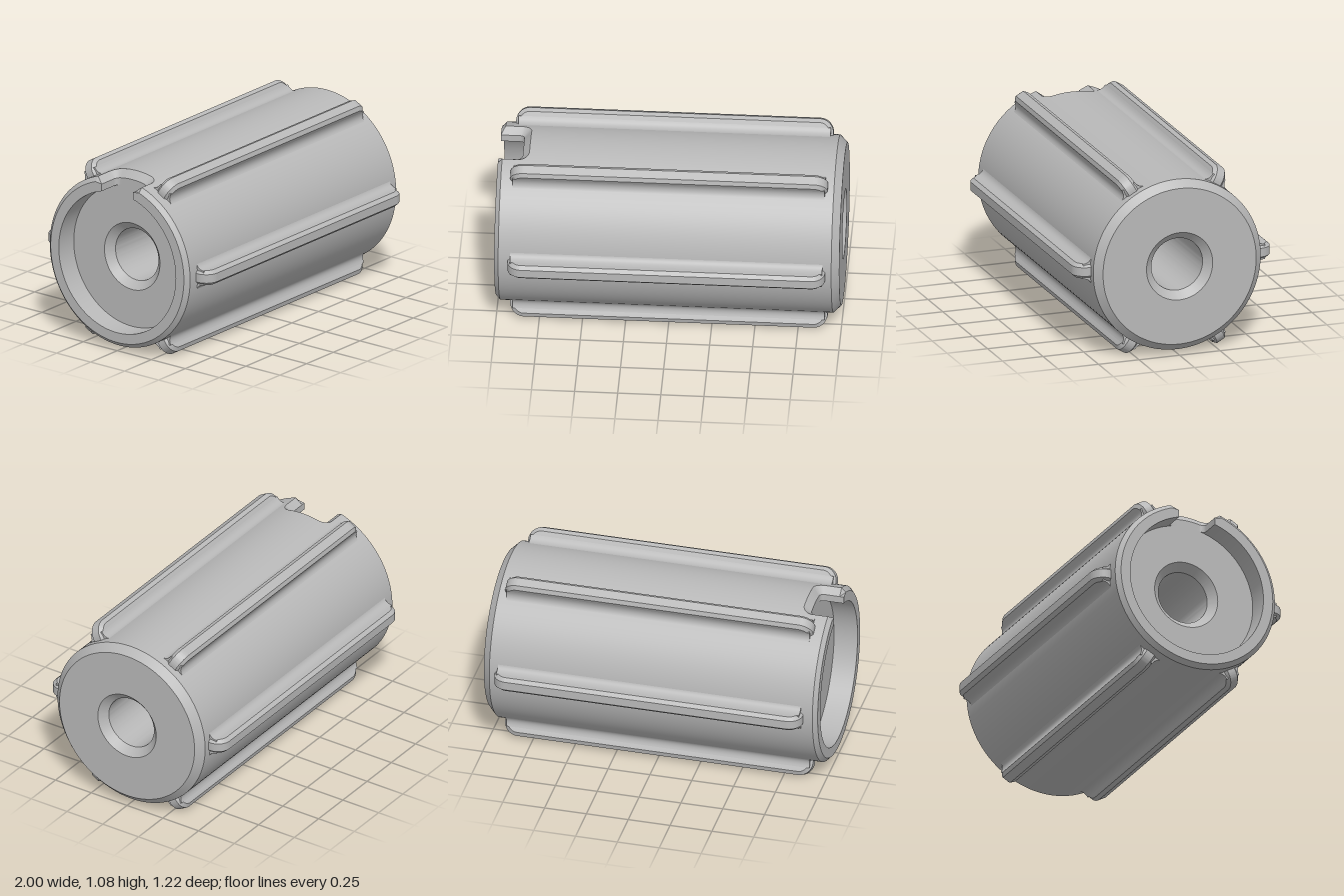
import * as THREE from 'three';
import { toCreasedNormals } from 'three/addons/utils/BufferGeometryUtils.js';

const CREASE = 0.5;

// Surface through rows of points, with sharp edges kept
function gridGeometry(rows) {
  const pos = [];
  const tri = (a, b, c) => {
    const n = b.clone().sub(a).cross(c.clone().sub(a));
    if (n.length() > 1e-8) pos.push(...a.toArray(), ...b.toArray(), ...c.toArray());
  };
  for (let i = 0; i < rows.length - 1; i++) {
    for (let j = 0; j < rows[i].length - 1; j++) {
      const a = rows[i][j], b = rows[i + 1][j], c = rows[i + 1][j + 1], d = rows[i][j + 1];
      tri(a, b, c);
      tri(a, c, d);
    }
  }
  const g = new THREE.BufferGeometry();
  g.setAttribute('position', new THREE.Float32BufferAttribute(pos, 3));
  return toCreasedNormals(g, CREASE);
}

// Rounded corner of the notch outline: list of [x, half width]
function notchCorner(xEnd, width, radius) {
  const pts = [];
  for (let i = 0; i <= 8; i++) {
    const t = (i / 8) * Math.PI / 2;
    pts.push([xEnd - radius + radius * Math.sin(t), width - radius + radius * Math.cos(t)]);
  }
  return pts;
}

export function createModel() {
  const grey = new THREE.MeshStandardMaterial({ color: 0xb8b8b8 });
  grey.name = 'grey';
  const group = new THREE.Group();
  group.name = 'ribbedSleeve';
  const add = (name, geometry) => {
    const mesh = new THREE.Mesh(geometry, grey);
    mesh.name = name;
    group.add(mesh);
    return mesh;
  };

  const R = 0.516, rimR = 0.49, midR = 0.472, recessR = 0.43, holeR = 0.158, holeEdge = 0.204;
  const outer = notchCorner(-0.82, 0.16, 0.06);
  const inner = notchCorner(-0.86, 0.115, 0.03);

  // Body: revolved profile [x, radius, notch half width], closed through the bore
  const profile = [
    [0.955, holeR, 0], [1, holeEdge, 0], [1, 0.472, 0], [0.956, R, 0], [-0.82, R, 0],
    ...outer.slice().reverse().map(([x, w]) => [x, R, w]),
    [-0.975, R, 0.16], [-1, rimR, 0.16], [-1, midR, 0.115], [-1, recessR, 0.115],
    ...inner.map(([x, w]) => [x, recessR, w]),
    [-0.86, recessR, 0], [-0.86, holeEdge, 0], [-0.815, holeR, 0], [0.955, holeR, 0],
  ];
  const N = 120;
  add('body', gridGeometry(profile.map(([x, r, w]) => {
    const h = Math.asin(w / r);
    return Array.from({ length: N + 1 }, (_, j) => {
      const a = THREE.MathUtils.clamp((j / N) * Math.PI * 2, h, Math.PI * 2 - h);
      return new THREE.Vector3(x, r * Math.cos(a), r * Math.sin(a));
    });
  })));

  // Notch lip: chamfer then straight wall, following the U-shaped outline
  const onRadius = (x, r, z) => new THREE.Vector3(x, Math.sqrt(r * r - z * z), z);
  const half = [[[-1, 0.16], [-1, 0.115], rimR], [[-0.975, 0.16], [-0.975, 0.115], R]];
  outer.forEach((p, i) => half.push([p, inner[i], R]));
  [0.66, 0.33, 0].forEach(f => half.push([[-0.82, 0.1 * f], [-0.86, 0.085 * f], R]));
  const lipRow = s => ([o, m, r]) => [
    onRadius(o[0], r, s * o[1]), onRadius(m[0], midR, s * m[1]), onRadius(m[0], recessR, s * m[1]),
  ];
  add('notchLip', gridGeometry([
    ...half.map(lipRow(1)), ...half.slice(0, -1).reverse().map(lipRow(-1)),
  ]));

  // Rib: long bar with rounded ends and chamfered edges
  const bevel = 0.021, end = 0.92 - bevel, top = 0.609 - bevel, round = 0.06;
  const side = new THREE.Shape();
  side.moveTo(-end, 0.46);
  side.lineTo(end, 0.46);
  side.lineTo(end, top - round);
  side.absarc(end - round, top - round, round, 0, Math.PI / 2, false);
  side.lineTo(-end + round, top);
  side.absarc(-end + round, top - round, round, Math.PI / 2, Math.PI, false);
  const ribGeo = new THREE.ExtrudeGeometry(side, {
    depth: 0.052, bevelEnabled: true, bevelSegments: 1,
    bevelSize: bevel, bevelThickness: 0.019, curveSegments: 10,
  });
  ribGeo.translate(0, 0, -0.026);
  const ribBar = toCreasedNormals(ribGeo, CREASE);

  // Concave fillets along both sides of a rib
  const foot = new THREE.Shape();
  foot.moveTo(-0.09, 0.48);
  foot.lineTo(0.09, 0.48);
  foot.lineTo(0.09, 0.506);
  foot.quadraticCurveTo(0.047, 0.515, 0.045, 0.56);
  foot.lineTo(-0.045, 0.56);
  foot.quadraticCurveTo(-0.047, 0.515, -0.09, 0.506);
  const footGeo = new THREE.ExtrudeGeometry(foot, { depth: 1.81, bevelEnabled: false, curveSegments: 8 });
  footGeo.translate(0, 0, -0.905);
  footGeo.rotateY(Math.PI / 2);
  const ribFillet = toCreasedNormals(footGeo, CREASE);

  // Six ribs around the body
  for (let k = 0; k < 6; k++) {
    const angle = Math.PI / 6 + k * Math.PI / 3;
    add('rib' + (k + 1), ribBar).rotation.x = angle;
    add('ribFillet' + (k + 1), ribFillet).rotation.x = angle;
  }

  group.children.forEach(m => { m.position.y = 0.541; });
  return group;
}
